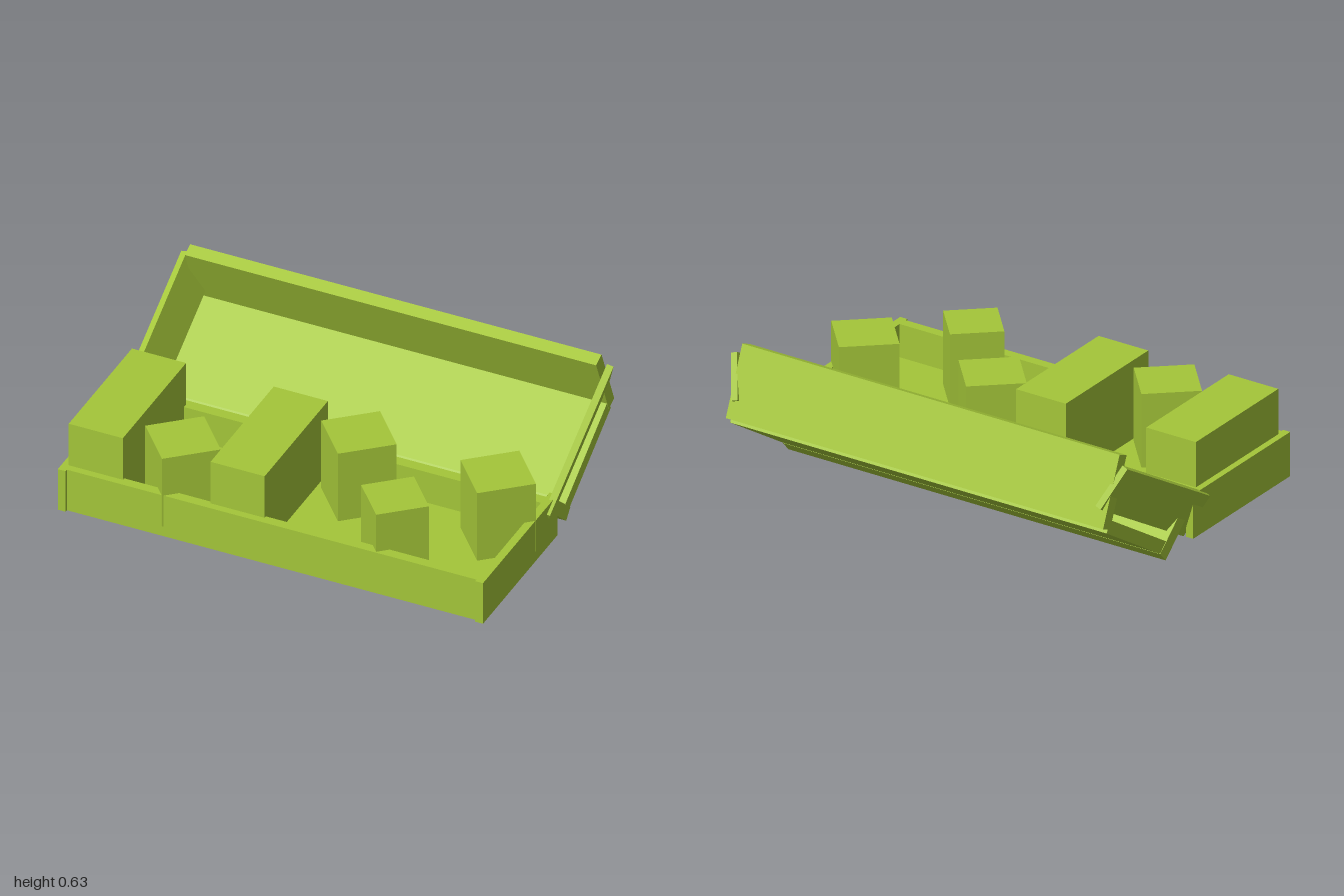
import * as THREE from 'three';

const material = new THREE.MeshStandardMaterial({ color: 0xa4c639, flatShading: true });

function box(parent, name, size, position) {
  const mesh = new THREE.Mesh(new THREE.BoxGeometry(...size), material);
  mesh.name = name;
  mesh.position.set(...position);
  parent.add(mesh);
  return mesh;
}

// Board spanning the full width, running between two [z, y] points
function slopedBoard(parent, name, width, [z0, y0], [z1, y1], thickness) {
  const length = Math.hypot(z1 - z0, y1 - y0);
  const mesh = box(parent, name, [width, thickness, length], [-0.003, (y0 + y1) / 2, (z0 + z1) / 2]);
  mesh.rotation.x = Math.atan2(y0 - y1, z1 - z0);
}

export function createModel() {
  const model = new THREE.Group();
  model.name = 'openCase';

  // Lower tray
  const tray = new THREE.Group();
  tray.name = 'tray';
  model.add(tray);
  const top = 0.245, bottom = 0.04, h = top - bottom, midY = (top + bottom) / 2;
  box(tray, 'trayFloor', [1.9, 0.05, 0.66], [0, bottom + 0.026, 0.33]);
  box(tray, 'trayFront', [1.9, h, 0.045], [0, midY, 0.645]);
  box(tray, 'trayBack', [1.9, h, 0.05], [0, midY, 0.015]);
  for (const s of [-1, 1]) {
    box(tray, s > 0 ? 'trayLeftSide' : 'trayRightSide', [0.036, h, 0.724], [s * 0.964 + 0.003, midY, 0.318]);
  }

  // Contents: two long boxes and four turned square boxes
  const contents = new THREE.Group();
  contents.name = 'contents';
  model.add(contents);
  const base = 0.09;
  for (const x of [-0.825, -0.17]) {
    box(contents, 'longBox', [0.25, 0.455 - base, 0.615], [x, (0.455 + base) / 2, 0.327]);
  }
  const squares = [[-0.49, 0.492, 0.255], [0.157, 0.143, 0.255], [0.807, 0.157, 0.255], [0.493, 0.5, 0.229]];
  for (const [x, z, size] of squares) {
    const b = box(contents, 'squareBox', [size, 0.432 - base, size], [x, (0.432 + base) / 2, z]);
    b.rotation.y = 0.72;
  }

  // Lid, tipped back, with splayed walls
  const lid = new THREE.Group();
  lid.name = 'lid';
  model.add(lid);
  slopedBoard(lid, 'lidPanel', 1.896, [-0.212, 0.056], [-0.632, 0.324], 0.058);
  slopedBoard(lid, 'lidFarWall', 1.9, [-0.65, 0.32], [-0.527, 0.616], 0.057);
  slopedBoard(lid, 'lidHingeWall', 1.9, [-0.23, 0.022], [-0.004, 0.223], 0.06);

  const sides = new THREE.Group();
  sides.name = 'lidSides';
  sides.position.set(0, 0.311, -0.3);
  sides.rotation.x = 0.541;
  lid.add(sides);
  for (const s of [-1, 1]) {
    const side = box(sides, s > 0 ? 'lidLeftSide' : 'lidRightSide', [0.03, 0.205, 0.722], [s * 0.95, 0, 0]);
    side.rotation.z = -s * 0.34;
  }
  return model;
}
